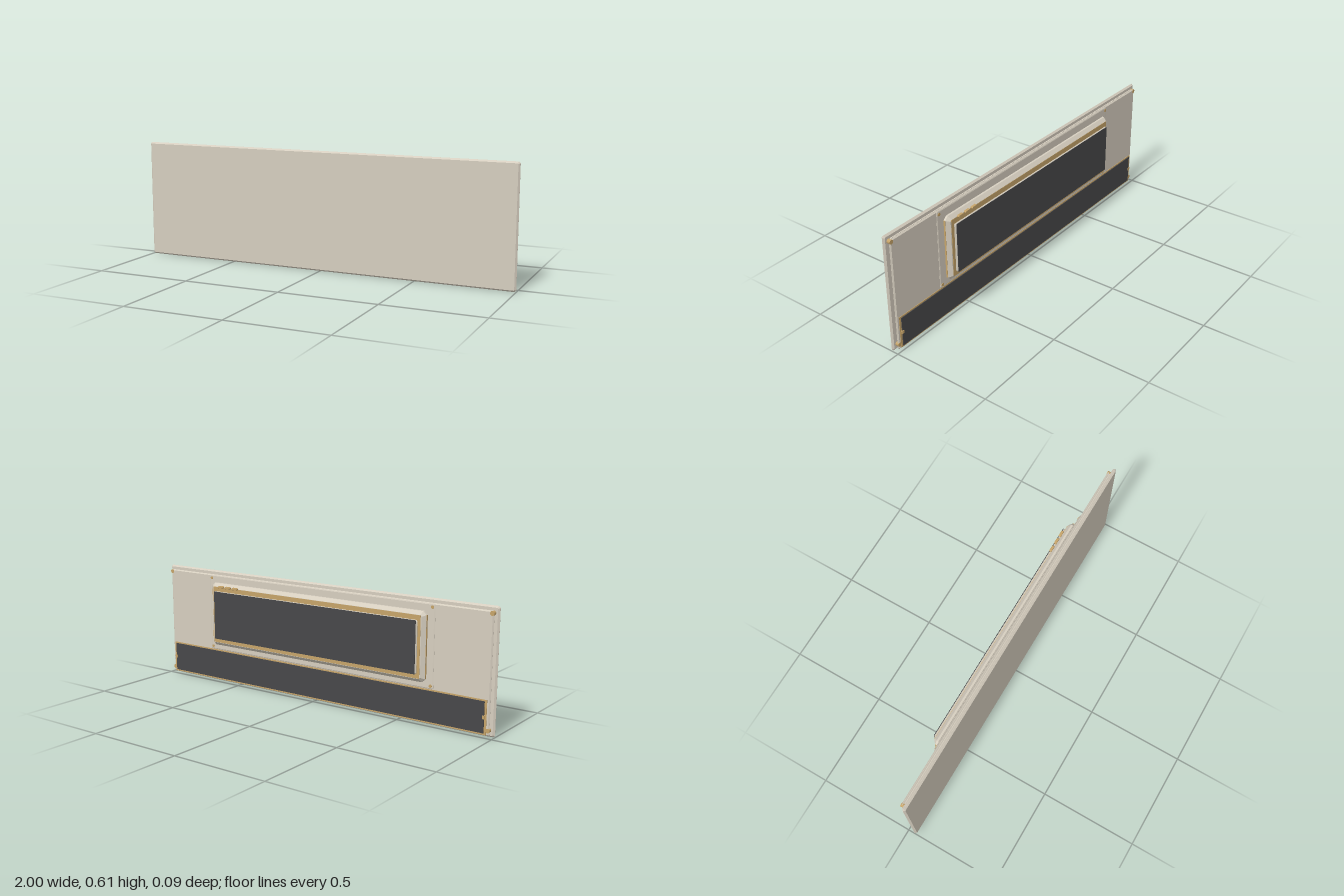
import * as THREE from 'three';

const material = (name, color) => {
  const m = new THREE.MeshStandardMaterial({ color });
  m.name = name;
  return m;
};

export function createModel() {
  const model = new THREE.Group();
  model.name = 'wallPanel';
  const cream = material('cream', 0xd6cebf);
  const gold = material('brass', 0xc6a46a);
  const dark = material('charcoal', 0x48484a);

  const add = (name, geometry, mat, x = 0, y = 0, z = 0) => {
    const mesh = new THREE.Mesh(geometry, mat);
    mesh.name = name;
    mesh.position.set(x, y, z);
    model.add(mesh);
    return mesh;
  };

  // Rectangle with clipped corners, extruded between z0 and z1 with chamfered rims
  const slab = (halfW, y0, y1, z0, z1, size, thick, cut = size) => {
    const w = halfW, c = cut;
    const outline = new THREE.Shape([
      [-w + c, y0], [w - c, y0], [w, y0 + c], [w, y1 - c],
      [w - c, y1], [-w + c, y1], [-w, y1 - c], [-w, y0 + c],
    ].map(([x, y]) => new THREE.Vector2(x, y)));
    return new THREE.ExtrudeGeometry(outline, {
      depth: z1 - z0 - 2 * thick, bevelEnabled: true, bevelSegments: 1,
      bevelSize: size, bevelOffset: -size, bevelThickness: thick,
    }).translate(0, 0, z0 + thick);
  };

  const box = (name, w, y0, y1, z0, z1, mat, x = 0) =>
    add(name, new THREE.BoxGeometry(w, y1 - y0, z1 - z0), mat, x, (y0 + y1) / 2, (z0 + z1) / 2);

  // Stacked boards, front to back
  add('frontBoard', slab(1, 0, 0.608, 0.027, 0.045, 0.008, 0.0085), cream);
  box('spacer', 1.94, 0.02, 0.585, 0.0215, 0.0275, cream);
  add('backBoard', slab(0.981, 0.007, 0.588, 0.01, 0.022, 0.006, 0.0055), cream);
  add('mountingPlate', slab(0.69, 0.18, 0.586, 0.0055, 0.0105, 0.005, 0.002), cream);

  // Housing with a deeper chamfer on its rear side
  const housing = slab(0.656, 0.212, 0.55, -0.022, 0.006, 0.017, 0.009, 0.017);
  const p = housing.attributes.position;
  for (let i = 0; i < p.count; i++) if (p.getZ(i) < -0.02) p.setZ(i, -0.029);
  housing.computeVertexNormals();
  add('housing', housing, cream);

  // Brass trim on the housing face and ends
  box('faceTrim', 1.27, 0.231, 0.532, -0.0305, -0.0285, gold);
  for (const s of [-1, 1]) box('endTrim', 0.004, 0.229, 0.533, -0.0125, -0.0035, gold, s * 0.6555);

  // Screen
  add('screenBezel', slab(0.623, 0.252, 0.51, -0.044, -0.0295, 0.006, 0.006), cream);
  box('screen', 1.236, 0.253, 0.509, -0.0455, -0.0435, dark);

  // Row of buttons above the screen
  for (const x of [0.482, 0.53, 0.577]) {
    add('button', slab(0.017, 0.528, 0.54, -0.041, -0.028, 0.001, 0.001, 0.004), gold, x);
  }

  // Lower strip with brass border and end knobs
  box('stripBorder', 1.934, 0.012, 0.178, 0.0075, 0.0102, gold);
  box('strip', 1.912, 0.02, 0.171, 0.004, 0.009, dark);
  for (const s of [-1, 1]) box('stripKnob', 0.012, 0.088, 0.104, 0, 0.01, gold, s * 0.955);

  // Screws in the corners of the back board and mounting plate
  const screw = (name, r, x, y, z0, z1) => {
    const g = new THREE.CylinderGeometry(r, r, z1 - z0, 12).rotateX(Math.PI / 2);
    add(name, g, gold, x, y, (z0 + z1) / 2);
  };
  for (const s of [-1, 1]) {
    for (const y of [0.033, 0.576]) screw('boardScrew', 0.011, s * 0.973, y, 0.0092, 0.0272);
    for (const y of [0.195, 0.57]) screw('plateScrew', 0.008, s * 0.676, y, 0.003, 0.01);
  }
  return model;
}
